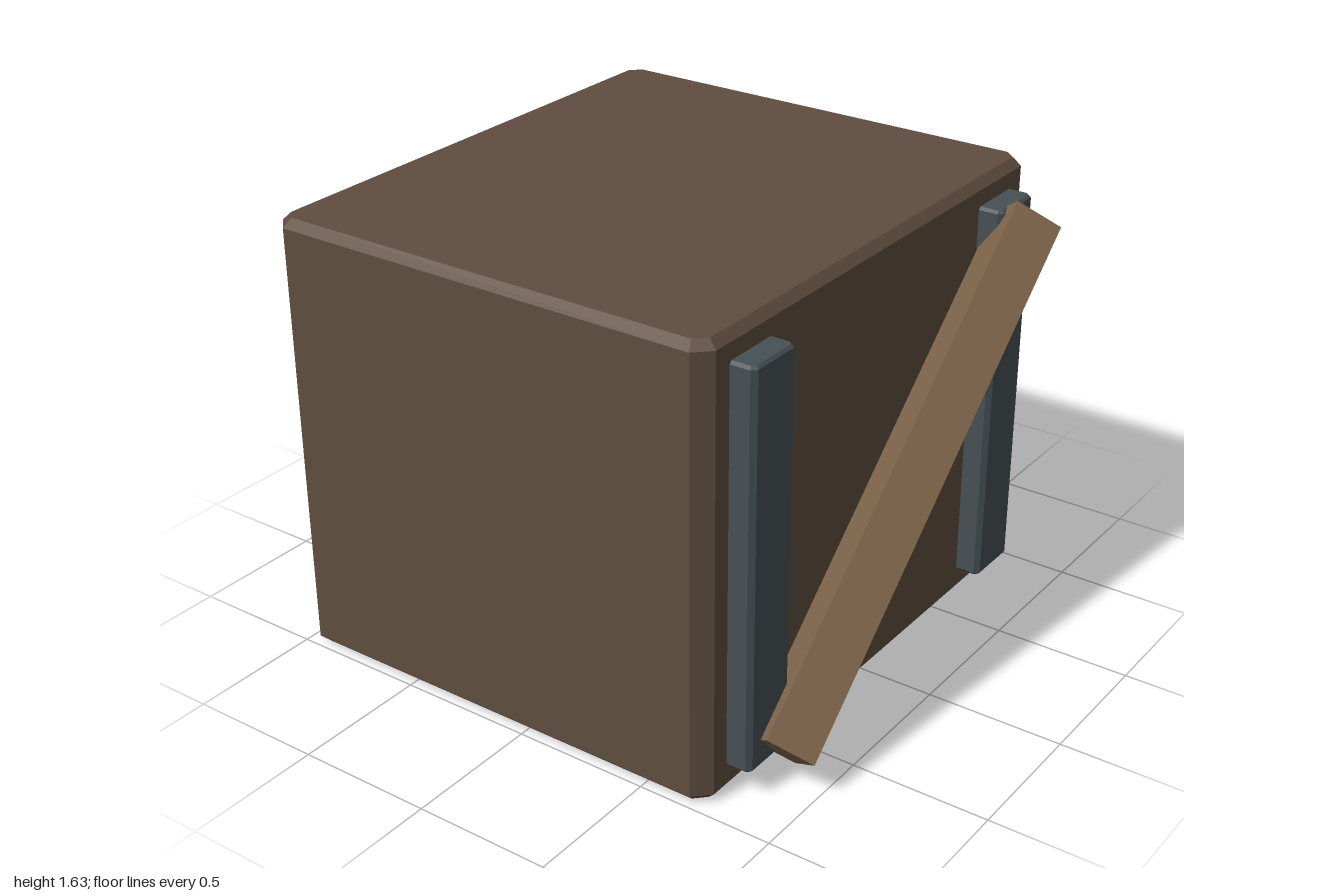
import * as THREE from 'three';

const material = (color) => new THREE.MeshStandardMaterial({ color, flatShading: true });

// Upright block with cut vertical corners and bevelled top and bottom edges
function chamferedBlock(width, height, depth, corner, bevel) {
  const w = width / 2, d = depth / 2, c = corner;
  const plan = new THREE.Shape([
    [w - c, -d], [w, -d + c], [w, d - c], [w - c, d],
    [-w + c, d], [-w, d - c], [-w, -d + c], [-w + c, -d],
  ].map(([x, y]) => new THREE.Vector2(x, y)));
  const geometry = new THREE.ExtrudeGeometry(plan, {
    depth: height - 2 * bevel,
    bevelEnabled: true,
    bevelThickness: bevel,
    bevelSize: bevel,
    bevelOffset: -bevel,
    bevelSegments: 1,
  });
  geometry.rotateX(-Math.PI / 2);
  geometry.translate(0, bevel, 0);
  return geometry;
}

export function createModel() {
  const model = new THREE.Group();
  model.name = 'crate';

  const add = (name, geometry, mat, x, y, z) => {
    const mesh = new THREE.Mesh(geometry, mat);
    mesh.name = name;
    mesh.position.set(x, y, z);
    model.add(mesh);
    return mesh;
  };

  // Main block
  add('body', chamferedBlock(1.97, 1.63, 1.74, 0.056, 0.03), material(0x5f4d3f), 0, 0, -0.13);

  // Two metal straps on the front
  const strap = chamferedBlock(0.225, 1.44, 0.16, 0.017, 0.01);
  const metal = material(0x465054);
  for (const side of [-1, 1]) {
    add(side > 0 ? 'leftStrap' : 'rightStrap', strap, metal, side * 0.747, 0.1, 0.75);
  }

  // Diagonal square bar, one edge facing forward
  const bar = add('diagonalBar', new THREE.CylinderGeometry(0.127, 0.127, 2.007, 4),
    material(0x80664c), 0, 0.817, 0.873);
  bar.rotation.z = -Math.atan2(1.485, 1.35);

  return model;
}
